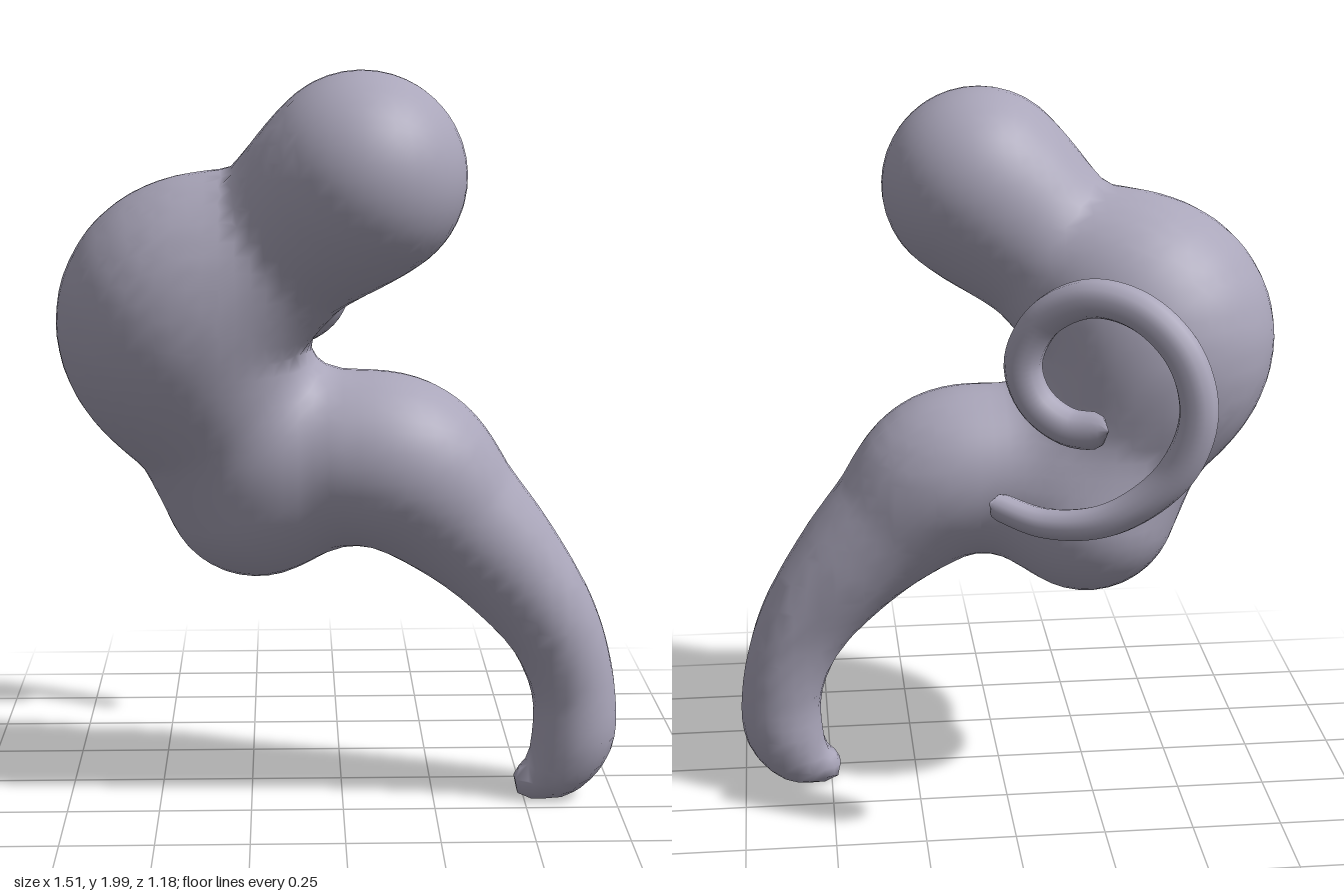
import * as THREE from 'three';

const CELL = 0.04;

// Row of balls along a spline; each point is [x, y, z, radius]
function ballChain(points, steps) {
  const path = new THREE.CatmullRomCurve3(points.map(p => new THREE.Vector3(p[0], p[1], p[2])));
  const size = new THREE.SplineCurve(points.map((p, i) => new THREE.Vector2(i, p[3])));
  const balls = [];
  for (let i = 0; i <= steps; i++) {
    balls.push({ c: path.getPoint(i / steps), r: size.getPoint(i / steps).y });
  }
  return balls;
}

function chainDistance(balls, p) {
  let d = Infinity;
  for (const b of balls) d = Math.min(d, p.distanceTo(b.c) - b.r);
  return d;
}

// Soft union of two distances
function blend(a, b, k) {
  const h = Math.max(k - Math.abs(a - b), 0) / k;
  return Math.min(a, b) - h * h * k / 4;
}

// Skin a distance field with a smooth quad mesh
function skin(field, min, max) {
  const n = min.map((m, i) => Math.ceil((max[i] - m) / CELL) + 1);
  const id = (x, y, z) => (x * n[1] + y) * n[2] + z;
  const at = (x, y, z) => new THREE.Vector3(min[0] + x * CELL, min[1] + y * CELL, min[2] + z * CELL);
  const eachCell = fn => {
    for (let x = 1; x < n[0] - 1; x++)
      for (let y = 1; y < n[1] - 1; y++)
        for (let z = 1; z < n[2] - 1; z++) fn(x, y, z);
  };
  const gradient = p => {
    const e = 0.012, g = new THREE.Vector3(), q = new THREE.Vector3();
    for (const a of ['x', 'y', 'z']) {
      q.copy(p)[a] += e;
      const hi = field(q);
      q.copy(p)[a] -= e;
      g[a] = hi - field(q);
    }
    return g.normalize();
  };

  const value = new Float32Array(n[0] * n[1] * n[2]);
  for (let x = 0; x < n[0]; x++)
    for (let y = 0; y < n[1]; y++)
      for (let z = 0; z < n[2]; z++) value[id(x, y, z)] = field(at(x, y, z));

  // One vertex per cell the surface crosses, pulled onto the surface
  const positions = [], normals = [], indices = [], vertexOf = new Map();
  eachCell((x, y, z) => {
    let inside = 0;
    for (let c = 0; c < 8; c++) {
      if (value[id(x + (c & 1), y + ((c >> 1) & 1), z + (c >> 2))] < 0) inside++;
    }
    if (inside === 0 || inside === 8) return;
    const p = at(x + 0.5, y + 0.5, z + 0.5);
    for (let i = 0; i < 3; i++) p.addScaledVector(gradient(p), -field(p));
    vertexOf.set(id(x, y, z), positions.length / 3);
    positions.push(p.x, p.y, p.z);
    normals.push(...gradient(p).toArray());
  });

  // One quad around every grid edge the surface crosses
  const step = [id(1, 0, 0), id(0, 1, 0), id(0, 0, 1)];
  eachCell((x, y, z) => {
    const i = id(x, y, z);
    for (let a = 0; a < 3; a++) {
      const inside = value[i] < 0;
      if (inside === (value[i + step[a]] < 0)) continue;
      const b = step[(a + 1) % 3], c = step[(a + 2) % 3];
      const q = [i, i - b, i - b - c, i - c].map(k => vertexOf.get(k));
      if (!inside) q.reverse();
      indices.push(q[0], q[1], q[2], q[0], q[2], q[3]);
    }
  });

  const geometry = new THREE.BufferGeometry();
  geometry.setAttribute('position', new THREE.Float32BufferAttribute(positions, 3));
  geometry.setAttribute('normal', new THREE.Float32BufferAttribute(normals, 3));
  geometry.setIndex(indices);
  return geometry;
}

// Tube whose radius swells from r0 to r1 and rounds off at both ends
function taperedTube(points, r0, r1) {
  const path = new THREE.CatmullRomCurve3(points.map(p => new THREE.Vector3(...p)));
  const rings = 96, sides = 12;
  const geometry = new THREE.TubeGeometry(path, rings, 1, sides);
  const pos = geometry.attributes.position, v = new THREE.Vector3();
  const length = path.getLength();
  for (let i = 0; i < pos.count; i++) {
    const t = Math.floor(i / (sides + 1)) / rings;
    const centre = path.getPointAt(t);
    const base = THREE.MathUtils.lerp(r0, r1, Math.min(1, t * 3));
    const end = Math.min(1, Math.min(t, 1 - t) * length / base);
    const r = base * Math.sqrt(1 - (1 - end) ** 2);
    v.fromBufferAttribute(pos, i).sub(centre).multiplyScalar(r).add(centre);
    pos.setXYZ(i, v.x, v.y, v.z);
  }
  return geometry;
}

export function createModel() {
  const group = new THREE.Group();
  const clay = new THREE.MeshStandardMaterial({ color: 0xaaa6ba });
  clay.name = 'lavender grey';

  // Head, neck, chest, waist and hip
  const torso = ballChain([
    [0.045, 1.73, 0.32, 0.27],
    [-0.18, 1.54, 0.24, 0.235],
    [-0.42, 1.35, 0.15, 0.335],
    [-0.32, 1.09, 0.11, 0.265],
    [-0.23, 0.88, 0.075, 0.255],
  ], 48);

  // Long limb curling under at its tip
  const limb = ballChain([
    [-0.1, 0.965, 0.13, 0.22],
    [0.03, 0.965, 0.14, 0.235],
    [0.16, 0.94, 0.15, 0.235],
    [0.3, 0.82, 0.15, 0.19],
    [0.43, 0.69, 0.15, 0.16],
    [0.57, 0.5, 0.15, 0.13],
    [0.633, 0.32, 0.145, 0.115],
    [0.635, 0.18, 0.15, 0.112],
    [0.59, 0.09, 0.155, 0.085],
    [0.52, 0.052, 0.16, 0.052],
  ], 72);

  const body = new THREE.Mesh(
    skin(p => blend(chainDistance(torso, p), chainDistance(limb, p), 0.1),
      [-0.9, -0.12, -0.32], [0.9, 2.12, 0.72]), clay);
  body.name = 'body';
  group.add(body);

  // Separate curl floating behind
  const curl = new THREE.Mesh(taperedTube([
    [0.08, 1.03, -0.325], [-0.06, 0.995, -0.4], [-0.22, 1.03, -0.475],
    [-0.37, 1.16, -0.525], [-0.425, 1.32, -0.542], [-0.39, 1.47, -0.52],
    [-0.29, 1.57, -0.46], [-0.17, 1.59, -0.39], [-0.06, 1.52, -0.325],
    [-0.01, 1.4, -0.3], [-0.04, 1.3, -0.31], [-0.12, 1.24, -0.35], [-0.22, 1.24, -0.4],
  ], 0.036, 0.05), clay);
  curl.name = 'curl';
  group.add(curl);

  return group;
}
